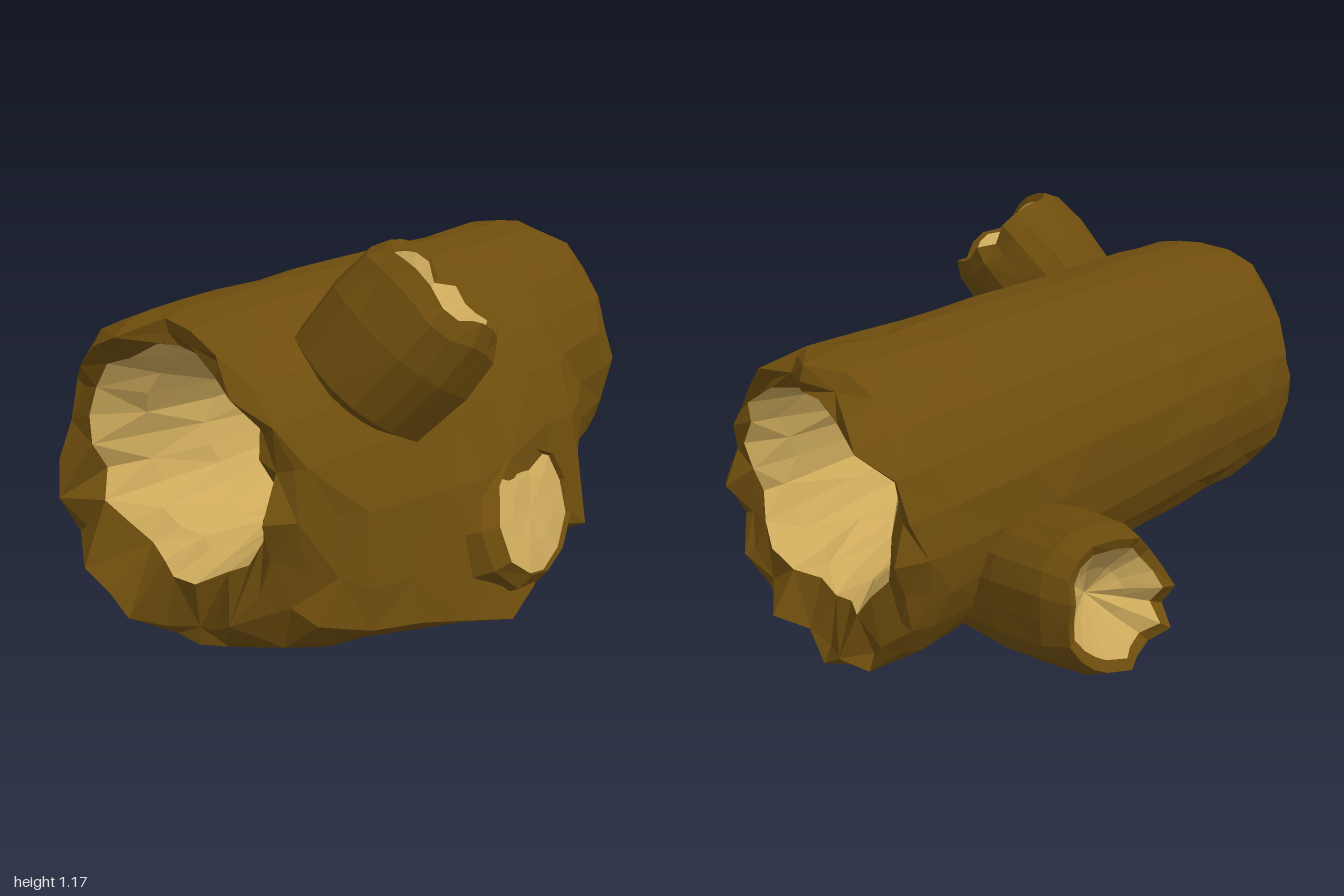
import * as THREE from 'three';

const bark = new THREE.MeshStandardMaterial({ color: 0x6e4d0d, flatShading: true });
const wood = new THREE.MeshStandardMaterial({ color: 0xcdaa5c, flatShading: true });

// Repeatable noise in -1..1
function noise(i, j) {
  const s = Math.sin(i * 127.1 + j * 311.7 + 4.3) * 43758.5453;
  return (s - Math.floor(s)) * 2 - 1;
}

// Linear interpolation through [x, value] pairs
function sample(table, x) {
  for (let i = 1; i < table.length; i++) {
    const [x0, a] = table[i - 1], [x1, b] = table[i];
    if (x <= x1) return a + (b - a) * Math.max(0, (x - x0) / (x1 - x0));
  }
  return table[table.length - 1][1];
}

// Skin a list of closed rings of points
function loft(name, rings, material) {
  const n = rings[0].length, pos = [], index = [];
  rings.forEach(r => r.forEach(p => pos.push(p.x, p.y, p.z)));
  for (let i = 0; i < rings.length - 1; i++) {
    for (let j = 0; j < n; j++) {
      const k = (j + 1) % n;
      const a = i * n + j, b = i * n + k, c = a + n, d = b + n;
      if ((i + j) % 2) index.push(a, c, b, b, c, d);
      else index.push(a, c, d, a, d, b);
    }
  }
  const g = new THREE.BufferGeometry();
  g.setAttribute('position', new THREE.Float32BufferAttribute(pos, 3));
  g.setIndex(index);
  g.computeVertexNormals();
  const mesh = new THREE.Mesh(g, material);
  mesh.name = name;
  return mesh;
}

// Swelling along the lower front of the log
const SIDES = 24;
const swell = [[-0.95, 0.05], [-0.75, 0.5], [-0.6, 0.62], [-0.45, 0.82], [-0.28, 1], [-0.1, 0.88],
  [0.2, 0.58], [0.36, 0.74], [0.48, 0.42], [0.62, 0.12], [0.9, 0]];
// Degrees around the log: [outward z, y] added at full swelling
const swellOffsets = { '-75': [0, -0.03], '-60': [0.04, -0.11], '-45': [0.18, -0.21],
  '-30': [0.34, -0.22], '-15': [0.25, -0.2], '0': [0.18, -0.05], '15': [0.1, 0.01],
  '30': [0.07, 0], '45': [0.04, 0] };

function outerRing(x, scale, jag, seed) {
  const w = sample(swell, x);
  return Array.from({ length: SIDES }, (_, j) => {
    let deg = j * 360 / SIDES;
    if (deg > 180) deg -= 360;
    const a = THREE.MathUtils.degToRad(deg);
    const s = scale * (1 + 0.012 * noise(seed, j));
    const [dz, dy] = swellOffsets[deg] || [0, 0];
    return new THREE.Vector3(x + jag * noise(seed + 40, j),
      0.53 + 0.47 * s * Math.sin(a) + w * dy, 0.06 + 0.425 * s * Math.cos(a) + w * dz);
  });
}

function innerRing(x, r, jag, seed, z = 0.125) {
  return Array.from({ length: SIDES }, (_, j) => {
    const a = j * 2 * Math.PI / SIDES, s = r * (1 + 0.06 * noise(seed, j));
    return new THREE.Vector3(x + jag * noise(seed + 40, j),
      0.58 + (0.05 + 0.87 * s) * Math.sin(a), z + s * Math.cos(a));
  });
}

function buildLog() {
  const log = new THREE.Group();
  log.name = 'hollowLog';
  const leftLip = innerRing(0.89, 0.32, 0.05, 3, 0.08);
  const rightLip = innerRing(-0.89, 0.32, 0.05, 5, 0.08);
  const stations = [-0.72, -0.58, -0.43, -0.28, -0.1, 0.2, 0.36, 0.48, 0.62];
  const skin = [
    rightLip,
    outerRing(-0.945, 0.88, 0.055, 11),
    outerRing(-0.91, 0.97, 0.035, 12),
    outerRing(-0.83, 0.99, 0.04, 13),
    ...stations.map((x, i) => outerRing(x, 1, 0.02, 14 + i)),
    outerRing(0.81, 1.01, 0.04, 25),
    outerRing(0.9, 0.97, 0.04, 26),
    outerRing(0.94, 0.88, 0.06, 27),
    leftLip,
  ];
  const hollow = [
    leftLip,
    innerRing(0.78, 0.275, 0.04, 31, 0.1),
    innerRing(0.58, 0.23, 0.04, 32),
    innerRing(0, 0.215, 0, 33),
    innerRing(-0.58, 0.23, 0.04, 34),
    innerRing(-0.78, 0.275, 0.04, 35, 0.1),
    rightLip,
  ];
  log.add(loft('barkShell', skin, bark), loft('hollowCore', hollow, wood));
  return log;
}

// Broken branch from base to tip with a ragged rim and a sunken wooden end
function buildBranch(name, { base, tip, width, height, sides, jag, depth, rim = 0.72, seed }) {
  const b = new THREE.Vector3(...base), axis = new THREE.Vector3(...tip).sub(b);
  const length = axis.length();
  axis.normalize();
  const side = new THREE.Vector3(0, 1, 0).cross(axis).normalize();
  const up = axis.clone().cross(side);
  const ring = (along, r, ragged, k) => Array.from({ length: sides }, (_, j) => {
    const a = -j * 2 * Math.PI / sides;
    const s = r * (1 + 0.04 * noise(seed, j) + 0.015 * noise(seed + k, j));
    return b.clone()
      .addScaledVector(axis, along + ragged * noise(seed + 9, j))
      .addScaledVector(side, width * s * Math.cos(a))
      .addScaledVector(up, height * s * Math.sin(a));
  });
  const lip = ring(length - 0.015, rim, jag, 4);
  const group = new THREE.Group();
  group.name = name;
  group.add(
    loft(name + 'Bark', [ring(-0.03, 0.75, 0, 8), ring(0, 0.98, 0, 1),
      ring(length * 0.5, 1.05, 0, 2), ring(length * 0.85, 0.99, jag * 0.6, 3),
      ring(length, 0.86, jag, 5), lip], bark),
    loft(name + 'BrokenEnd', [lip, ring(length - depth * 0.6, rim * 0.55, jag * 0.5, 6),
      ring(length - depth, 0.001, 0, 7)], wood));
  return group;
}

export function createModel() {
  const model = new THREE.Group();
  model.name = 'fallenLog';
  model.add(
    buildLog(),
    buildBranch('upperBranch', { base: [-0.53, 0.78, 0.4], tip: [-0.4, 1.045, 0.59],
      width: 0.235, height: 0.225, sides: 20, jag: 0.02, depth: 0.15, seed: 51 }),
    buildBranch('backBranch', { base: [0.45, 0.29, -0.18], tip: [0.565, 0.405, -0.73],
      width: 0.21, height: 0.215, sides: 20, jag: 0.03, depth: 0.15, seed: 67 }),
    // Wide stub snapped off at the swelling
    buildBranch('frontStub', { base: [-0.08, 0.23, 0.46], tip: [-0.035, 0.32, 0.7],
      width: 0.34, height: 0.215, sides: 11, jag: 0.015, depth: 0.02, rim: 0.84, seed: 83 }));
  return model;
}
